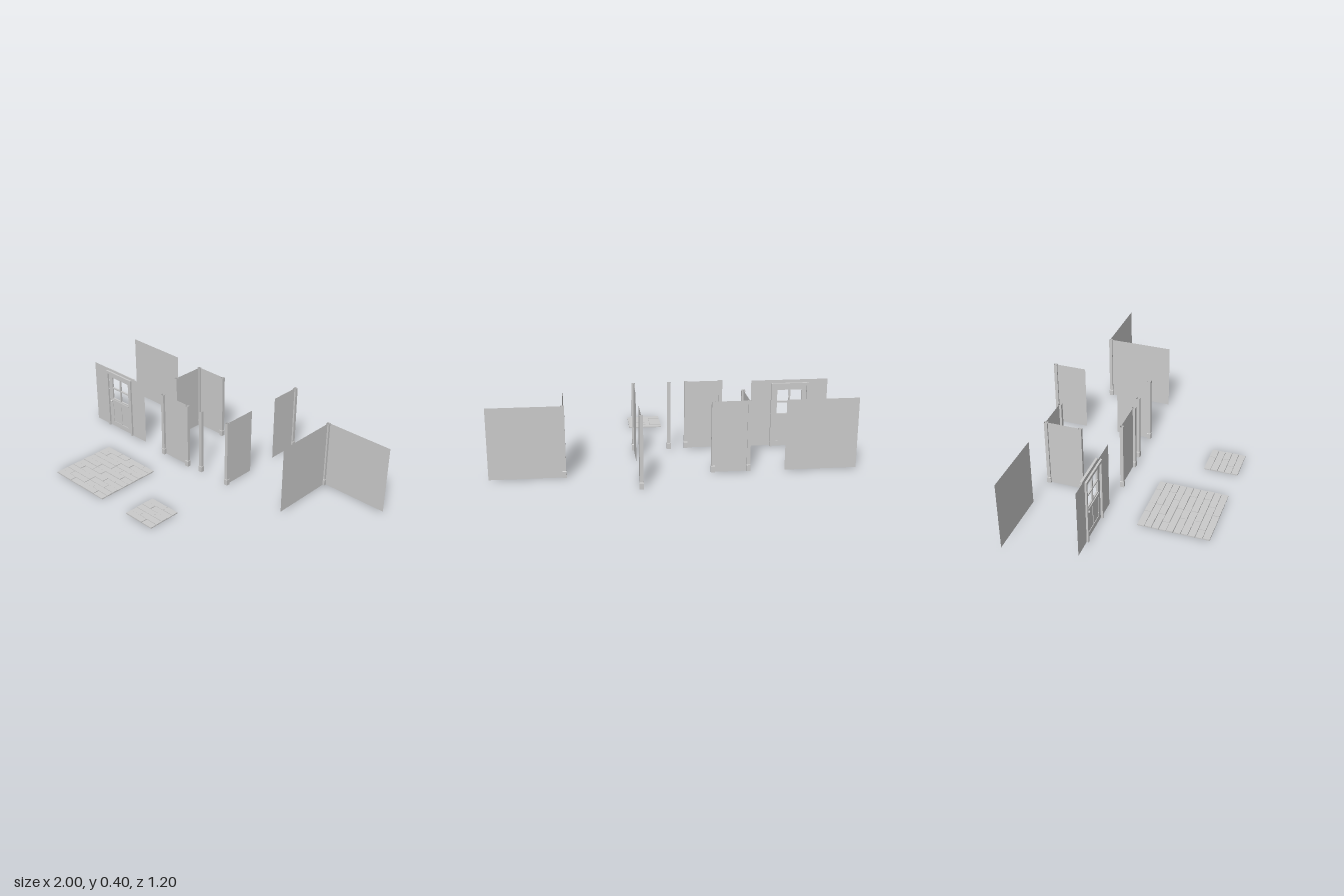
import * as THREE from 'three';

const material = new THREE.MeshStandardMaterial({ color: 0xcccccc, flatShading: true, side: THREE.DoubleSide });
const BOTTOM = 0.003, TOP = 0.403, HEIGHT = TOP - BOTTOM;

function add(parent, name, geometry, x = 0, y = 0, z = 0) {
  const mesh = new THREE.Mesh(geometry, material);
  mesh.name = name;
  mesh.position.set(x, y, z);
  parent.add(mesh);
  return mesh;
}

function box(parent, name, x0, x1, y0, y1, z0, z1) {
  return add(parent, name, new THREE.BoxGeometry(x1 - x0, y1 - y0, z1 - z0),
    (x0 + x1) / 2, (y0 + y1) / 2, (z0 + z1) / 2);
}

// Thin wall sheet between two plan points (along x or along z)
function wall(parent, x0, z0, x1, z1) {
  const sheet = add(parent, 'wallPanel', new THREE.PlaneGeometry(Math.hypot(x1 - x0, z1 - z0), HEIGHT),
    (x0 + x1) / 2, BOTTOM + HEIGHT / 2, (z0 + z1) / 2);
  sheet.rotation.y = -Math.atan2(z1 - z0, x1 - x0);
}

// Square trim post, open on top, with a wider foot
const postProfile = [[0.0115, 0], [0.0115, 0.034], [0.0095, 0.038], [0.0095, HEIGHT]]
  .map(([r, y]) => new THREE.Vector2(r * Math.SQRT2, y));
function post(parent, x, z) {
  add(parent, 'trimPost', new THREE.LatheGeometry(postProfile, 4, Math.PI / 4), x, BOTTOM, z);
}

function piece(root, name, walls, posts) {
  const group = new THREE.Group();
  group.name = name;
  walls.forEach((w) => wall(group, ...w));
  posts.forEach((p) => post(group, ...p));
  root.add(group);
}

// Counter-clockwise rectangle path
function rect(PathType, x0, x1, y0, y1) {
  return new PathType([[x0, y0], [x1, y0], [x1, y1], [x0, y1]].map((p) => new THREE.Vector2(...p)));
}

// Square plank tile: rows of boards with staggered joints
function plankTile(parent, x, z) {
  const size = 0.2, rows = 5, gap = 0.0012, joints = [0.125, 0.068];
  const step = size / rows;
  for (let i = 0; i < rows; i++) {
    const joint = joints[i % 2];
    [[0, joint], [joint, size]].forEach(([a, b], j) => {
      const top = 0.006 + 0.001 * ((i * 2 + j) % 3);
      box(parent, 'plank', x + a + gap, x + b - gap, 0, top, z + i * step + gap, z + (i + 1) * step - gap);
    });
  }
}

function floor(root, name, x, z, tiles) {
  const group = new THREE.Group();
  group.name = name;
  for (let i = 0; i < tiles; i++)
    for (let j = 0; j < tiles; j++) plankTile(group, x + i * 0.2, z + j * 0.2);
  root.add(group);
}

function doorWall(root) {
  const group = new THREE.Group();
  group.name = 'doorWall';
  root.add(group);
  const left = -0.806, right = -0.607, head = 0.368;

  // Wall sheet around the doorway
  const sheet = new THREE.Shape([
    [-0.93, BOTTOM], [left, BOTTOM], [left, head], [right, head],
    [right, BOTTOM], [-0.482, BOTTOM], [-0.482, 0.4], [-0.93, 0.4],
  ].map((p) => new THREE.Vector2(...p)));
  add(group, 'doorwayPanel', new THREE.ShapeGeometry(sheet));

  // Casings on both faces
  for (const [z0, z1] of [[0, 0.011], [-0.025, -0.012]]) {
    box(group, 'sideCasing', left - 0.01, left + 0.002, BOTTOM, head, z0, z1);
    box(group, 'sideCasing', right - 0.002, right + 0.01, BOTTOM, head, z0, z1);
    box(group, 'topCasing', left - 0.01, right + 0.01, head, 0.385, z0, z1);
  }

  // Door leaf with four open lights and two lower panels
  const leaf = rect(THREE.Shape, left, right, BOTTOM, head);
  for (const [x0, x1] of [[-0.777, -0.711], [-0.702, -0.634]]) {
    for (const [y0, y1] of [[0.275, 0.343], [0.2, 0.267], [0.035, 0.163]])
      leaf.holes.push(rect(THREE.Path, x0, x1, y0, y1));
    box(group, 'lowerPanel', x0, x1, 0.035, 0.163, -0.009, -0.005);
  }
  add(group, 'doorLeaf', new THREE.ExtrudeGeometry(leaf, { depth: 0.01, bevelEnabled: false }), 0, 0, -0.012);
  box(group, 'lockRail', -0.782, -0.63, 0.186, 0.192, -0.002, 0.003);

  // Knobs
  for (const z of [0.005, -0.019]) {
    add(group, 'doorKnob', new THREE.SphereGeometry(0.008, 10, 8), -0.785, 0.18, z);
  }
}

export function createModel() {
  const root = new THREE.Group();
  root.name = 'buildingKit';

  // Floors
  floor(root, 'largeFloor', -0.6, 0.2, 2);
  floor(root, 'smallFloor', 0, 0.4, 1);

  // Walls and corners
  doorWall(root);
  piece(root, 'plainWall', [[-1, -0.4, -0.6, -0.4]], []);
  piece(root, 'insideCorner', [[0.597, -0.39, 1, -0.39], [0.597, -0.39, 0.597, 0]], [[0.597, -0.385]]);
  piece(root, 'smallCorner', [[-0.4, -0.392, -0.2, -0.392], [-0.4, -0.392, -0.4, -0.19]],
    [[-0.4, -0.389], [-0.205, -0.389], [-0.4, -0.191]]);
  piece(root, 'doublePostWall', [[-0.305, 0.008, -0.105, 0.008]], [[-0.305, 0.013], [-0.105, 0.013]]);
  piece(root, 'frontEndWall', [[0.198, 0.003, 0.198, -0.2]], [[0.198, 0.003]]);
  piece(root, 'backEndWall', [[0.198, -0.4, 0.198, -0.59]], [[0.198, -0.5885]]);
  piece(root, 'singlePost', [], [[-0.005, 0.003]]);
  return root;
}
